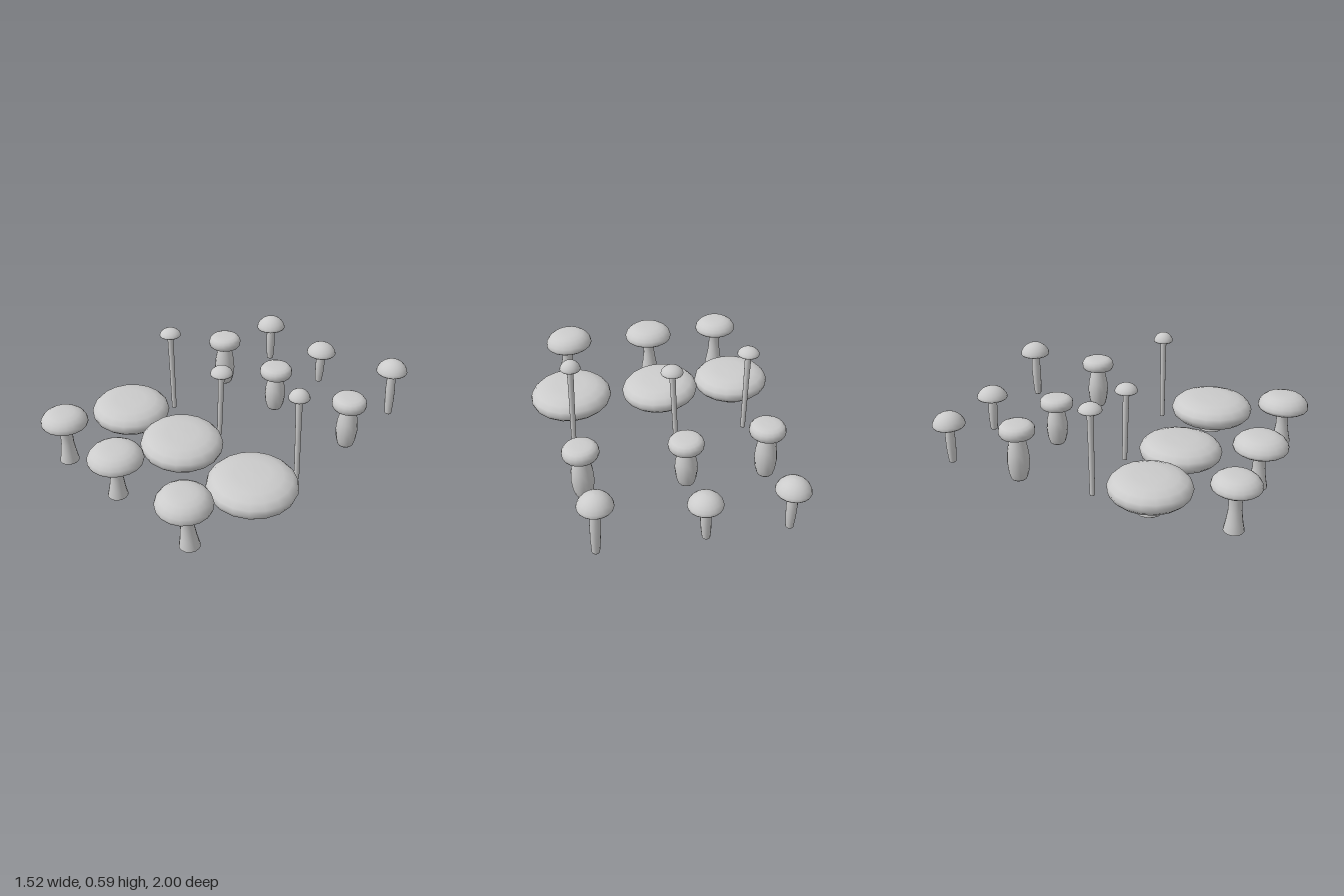
import * as THREE from 'three';

const material = new THREE.MeshStandardMaterial({ color: 0xcccccc });

// Lathe from a smoothed or plain list of [radius, height] points
function lathe(points, sides, rScale, yScale) {
  return new THREE.LatheGeometry(
    points.map(([r, y]) => new THREE.Vector2(r * rScale, y * yScale)), sides);
}

// Cap profiles: underside centre -> rim -> crown, radius and height as fractions
const domeCap = [[0, 0.62], [0.4, 0.55], [0.75, 0.32], [0.9, 0.04], [0.97, 0], [1, 0.08],
  [0.96, 0.28], [0.84, 0.52], [0.66, 0.74], [0.45, 0.89], [0.22, 0.98], [0, 1]];
const cushionCap = [[0, 0.4], [0.45, 0.38], [0.72, 0.26], [0.84, 0.02], [0.92, 0], [0.98, 0.15],
  [1, 0.38], [0.96, 0.62], [0.84, 0.83], [0.64, 0.95], [0.35, 0.99], [0, 1]];
const roundCap = [[0, 0.5], [0.4, 0.46], [0.72, 0.3], [0.84, 0.05], [0.9, 0], [0.98, 0.1],
  [1, 0.24], [0.96, 0.45], [0.85, 0.68], [0.68, 0.87], [0.45, 0.97], [0.2, 1], [0, 1]];
const broadCap = [[0, 0.55], [0.4, 0.54], [0.62, 0.42], [0.68, 0.12], [0.75, 0], [0.86, 0.07],
  [0.96, 0.23], [1, 0.42], [0.97, 0.6], [0.86, 0.8], [0.66, 0.93], [0.4, 0.99], [0, 1]];

// Stem profiles: radius in units, height as a fraction of the stem
const slimStem = [[0, 0], [0.02, 0], [0.022, 0.01], [0.028, 0.25], [0.03, 0.5], [0.026, 0.75], [0.02, 1]];
const bulgingStem = [[0, 0], [0.044, 0], [0.048, 0.02], [0.059, 0.15], [0.066, 0.36], [0.062, 0.55],
  [0.05, 0.75], [0.04, 0.9], [0.038, 1]];
const thinStem = [[0, 0], [0.014, 0], [0.015, 0.005], [0.016, 0.3], [0.017, 0.6], [0.019, 0.9], [0.021, 1]];
const broadStem = [[0, 0], [0.078, 0], [0.081, 0.02], [0.072, 0.3], [0.066, 0.55], [0.07, 0.8], [0.085, 1]];
const flaredStem = [[0, 0], [0.054, 0], [0.057, 0.01], [0.046, 0.2], [0.037, 0.42], [0.036, 0.6],
  [0.043, 0.8], [0.052, 1]];

// Each mushroom: [cap x, z, cap radius, top, rim height, tilt about z, base x]
const kinds = [
  { name: 'slimMushroom', cap: domeCap, stem: slimStem, recess: 0.62, items: [
    [-0.535, -0.9, 0.097, 0.325, 0.243, 0.02, -0.535],
    [-0.07, -0.9, 0.096, 0.293, 0.218, -0.03, -0.08],
    [0.49, -0.905, 0.096, 0.385, 0.303, 0, 0.5]] },
  { name: 'stoutMushroom', cap: cushionCap, stem: bulgingStem, recess: 0.4, items: [
    [-0.53, -0.44, 0.105, 0.355, 0.28, 0, -0.535],
    [-0.065, -0.44, 0.103, 0.315, 0.243, -0.03, -0.07],
    [0.52, -0.44, 0.104, 0.343, 0.268, -0.04, 0.515]] },
  { name: 'tallMushroom', cap: domeCap, stem: thinStem, recess: 0.62, items: [
    [-0.535, 0.025, 0.066, 0.57, 0.525, 0, -0.53],
    [-0.075, 0.03, 0.068, 0.49, 0.44, 0, -0.1],
    [0.52, 0.025, 0.06, 0.592, 0.536, 0, 0.53]] },
  { name: 'broadMushroom', cap: broadCap, stem: broadStem, recess: 0.55, items: [
    [-0.53, 0.37, 0.235, 0.22, 0.08, -0.03, -0.54],
    [-0.06, 0.37, 0.242, 0.204, 0.062, -0.07, -0.075],
    [0.51, 0.37, 0.254, 0.22, 0.073, -0.03, 0.505]] },
  { name: 'flaredMushroom', cap: roundCap, stem: flaredStem, recess: 0.5, items: [
    [-0.535, 0.84, 0.135, 0.34, 0.255, -0.03, -0.535],
    [-0.065, 0.838, 0.156, 0.33, 0.236, -0.02, -0.075],
    [0.48, 0.83, 0.152, 0.338, 0.237, -0.06, 0.51]] },
];

function createMushroom(kind, [x, z, radius, top, rim, tilt, baseX]) {
  const group = new THREE.Group();
  group.name = kind.name;
  group.position.set(x, 0, z);

  const capHeight = top - rim;
  const cap = new THREE.Mesh(lathe(kind.cap, 18, radius, capHeight), material);
  cap.name = 'cap';
  cap.geometry.translate(0, -capHeight / 2, 0);
  cap.position.y = rim + capHeight / 2;
  cap.rotation.z = tilt;

  // The stem reaches the hollow under the cap and leans from its base
  const stemHeight = rim + capHeight * (kind.recess + 0.03);
  const stem = new THREE.Mesh(lathe(kind.stem, 14, 1, stemHeight), material);
  stem.name = 'stem';
  const pos = stem.geometry.attributes.position;
  for (let i = 0; i < pos.count; i++) {
    const lean = 1 - pos.getY(i) / stemHeight;
    pos.setX(i, pos.getX(i) + (baseX - x) * lean);
  }

  group.add(cap, stem);
  return group;
}

export function createModel() {
  const model = new THREE.Group();
  model.name = 'mushroomSet';
  for (const kind of kinds) {
    for (const item of kind.items) model.add(createMushroom(kind, item));
  }
  return model;
}
